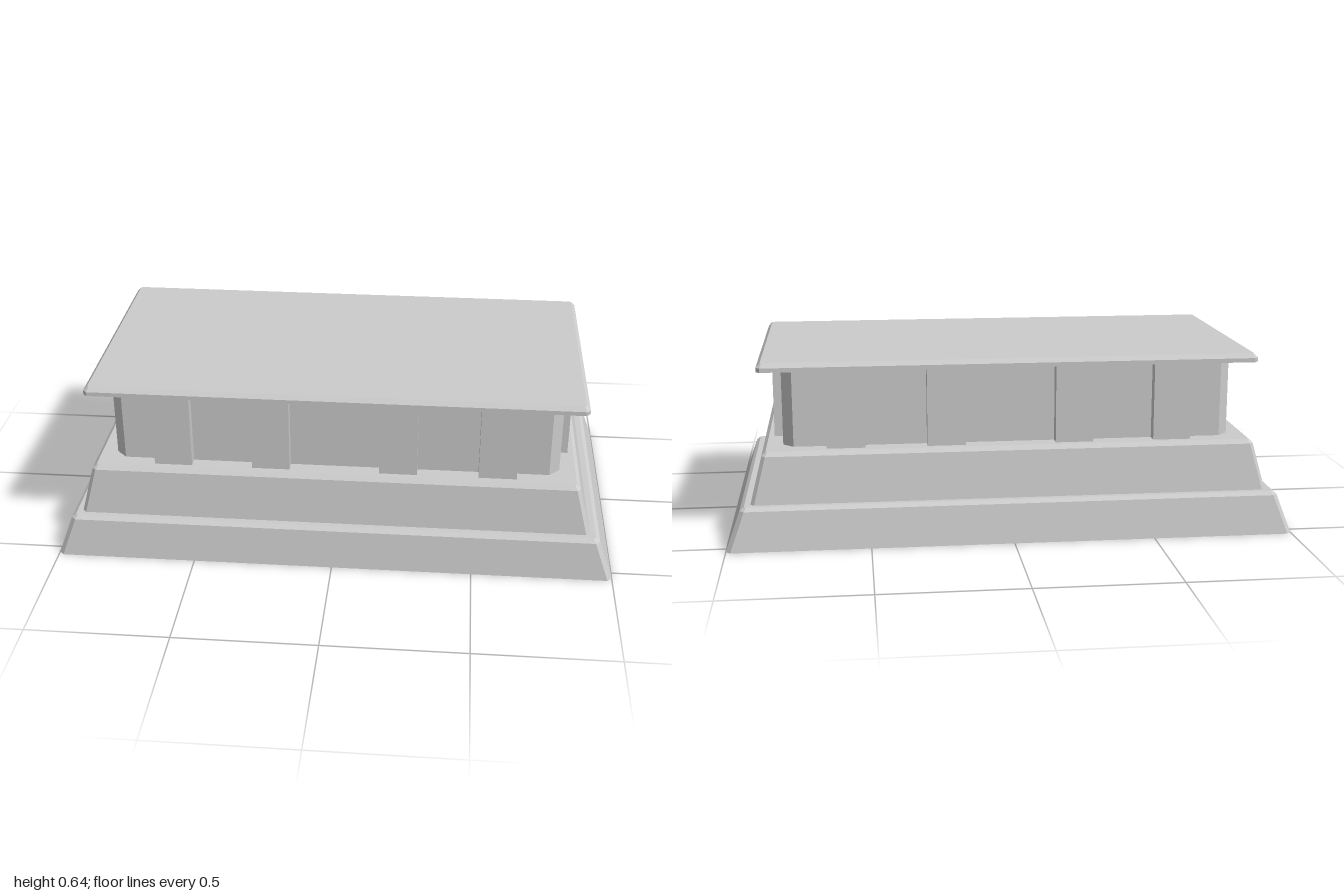
import * as THREE from 'three';

// Rectangle with cut corners, counter-clockwise seen from above
function ring(y, hx, hz, c) {
  return [
    [hx, hz - c], [hx, c - hz], [hx - c, -hz], [c - hx, -hz],
    [-hx, c - hz], [-hx, hz - c], [c - hx, hz], [hx - c, hz],
  ].map(([x, z]) => [x, y, z]);
}

// Shell through stacked sections [y, halfX, halfZ, cornerCut], closed on top, open below
function shell(sections) {
  const rings = sections.map((s) => ring(...s));
  const pos = [];
  const tri = (...pts) => pts.forEach((p) => pos.push(...p));
  for (let r = 0; r < rings.length - 1; r++) {
    for (let i = 0; i < 8; i++) {
      const j = (i + 1) % 8;
      const lo = rings[r], hi = rings[r + 1];
      tri(lo[i], lo[j], hi[j]);
      tri(lo[i], hi[j], hi[i]);
    }
  }
  const top = rings[rings.length - 1];
  for (let i = 1; i < 7; i++) tri(top[0], top[i], top[i + 1]);
  const geo = new THREE.BufferGeometry();
  geo.setAttribute('position', new THREE.Float32BufferAttribute(pos, 3));
  geo.computeVertexNormals();
  return geo;
}

export function createModel() {
  const model = new THREE.Group();
  model.name = 'pedestal';
  const mat = new THREE.MeshStandardMaterial({
    color: 0xcccccc, flatShading: true, side: THREE.DoubleSide,
  });
  const add = (name, geo, parent = model) => {
    const mesh = new THREE.Mesh(geo, mat);
    mesh.name = name;
    parent.add(mesh);
    return mesh;
  };

  // Sloped plinth tiers with bevelled top edges
  add('lowerPlinth', shell([[0, 1, 0.55, 0.016], [0.138, 0.95, 0.525, 0.016], [0.15, 0.935, 0.51, 0.008]]));
  add('upperPlinth', shell([[0.15, 0.914, 0.49, 0.013], [0.315, 0.872, 0.464, 0.013], [0.33, 0.857, 0.449, 0.006]]));

  // Recessed body with cut corners
  add('body', shell([[0.33, 0.8, 0.388, 0.037], [0.625, 0.8, 0.388, 0.037]]));

  // Flat pilasters on all four sides
  const pilasters = new THREE.Group();
  pilasters.name = 'pilasters';
  model.add(pilasters);
  const width = 0.135, bottom = 0.33, height = 0.29, sink = 0.03;
  const midY = bottom + height / 2;
  for (const side of [1, -1]) {
    for (const x of [-0.58, -0.2275, 0.2275, 0.58]) {
      const depth = 0.428 - 0.388 + sink;
      add('longSidePilaster', new THREE.BoxGeometry(width, height, depth), pilasters)
        .position.set(x, midY, side * (0.428 - depth / 2));
    }
    for (const z of [-0.157, 0.157]) {
      const depth = 0.836 - 0.8 + sink;
      add('shortSidePilaster', new THREE.BoxGeometry(depth, height, width), pilasters)
        .position.set(side * (0.836 - depth / 2), midY, z);
    }
  }

  // Overhanging top slab
  add('topSlab', shell([[0.61, 0.88, 0.457, 0.013], [0.625, 0.88, 0.457, 0.013], [0.64, 0.866, 0.443, 0.006]]));

  return model;
}
